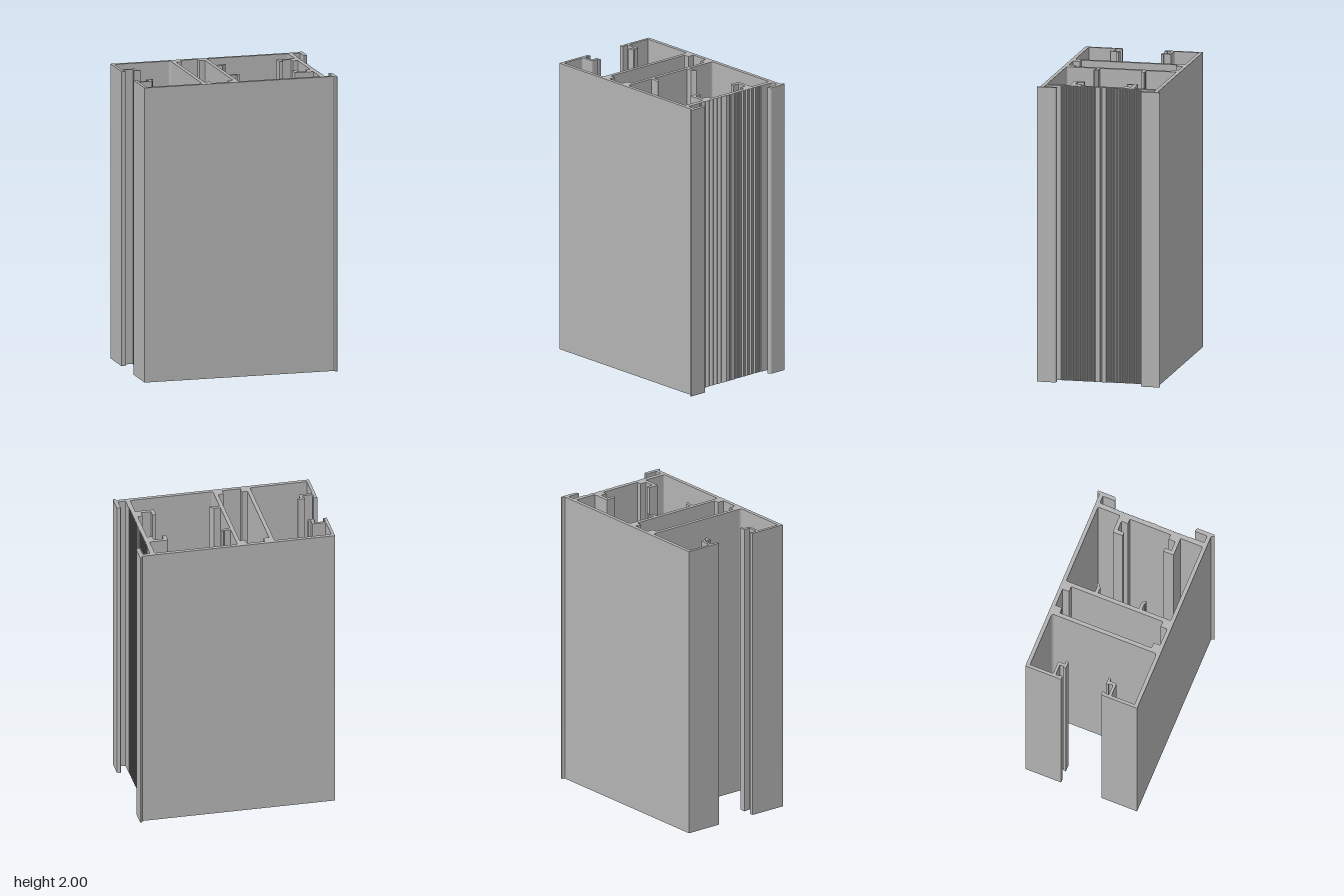
import * as THREE from 'three';

const HEIGHT = 2;

// Corner list [x, w, radius?] to points, with rounded corners where a radius is given
function roundCorners(corners) {
  const out = [];
  corners.forEach(([x, w, r], i) => {
    const p = new THREE.Vector2(x, w);
    if (!r) { out.push(p); return; }
    const toward = ([qx, qw]) => new THREE.Vector2(qx - x, qw - w).setLength(r).add(p);
    const curve = new THREE.QuadraticBezierCurve(toward(corners[i - 1]), p, toward(corners[i + 1]));
    out.push(...curve.getPoints(4));
  });
  return out;
}

// Closed symmetric loop from its half on the positive side
function mirrorLoop(corners) {
  const half = roundCorners(corners);
  const other = half.filter(p => p.y > 0).reverse().map(p => new THREE.Vector2(p.x, -p.y));
  return [...half, ...other];
}

// Fine ribs on the outer face of the right wall, with a V notch on the centre line
function ribbedFace() {
  const pts = [[0.582, 0], [0.588, 0.006], [0.588, 0.036]];
  for (let i = 0; i < 20; i++) {
    const w = 0.036 + i * 0.012;
    pts.push([0.583, w + 0.004], [0.583, w + 0.006], [0.588, w + 0.010]);
  }
  return pts;
}

export function createModel() {
  const aluminium = new THREE.MeshStandardMaterial({ color: 0xb3b3b3 });
  aluminium.name = 'aluminium grey';

  const outline = mirrorLoop([
    ...ribbedFace(),
    // right flange lip
    [0.588, 0.373, 0.008], [0.639, 0.373], [0.639, 0.284, 0.006], [0.665, 0.292, 0.01],
    [0.665, 0.419, 0.006], [0.652, 0.419, 0.006], [0.645, 0.4],
    // outer side and left end
    [-0.665, 0.4], [-0.665, 0.144], [-0.638, 0.144], [-0.638, 0.161], [-0.645, 0.161],
    // hooked track of the open chamber
    [-0.645, 0.19], [-0.573, 0.19], [-0.573, 0.161], [-0.58, 0.161], [-0.58, 0.144],
    [-0.532, 0.144, 0.005], [-0.535, 0.161, 0.005], [-0.553, 0.161], [-0.553, 0.209, 0.01],
    [-0.645, 0.209, 0.008],
    // inside of the open chamber
    [-0.645, 0.374], [-0.258, 0.374, 0.018], [-0.258, 0],
  ]);

  const middleChamber = mirrorLoop([
    [-0.232, 0], [-0.232, 0.328, 0.006], [-0.193, 0.328], [-0.193, 0.374], [-0.07, 0.374],
    [-0.07, 0.328], [-0.032, 0.328, 0.006], [-0.032, 0],
  ]);

  const rightChamber = mirrorLoop([
    [-0.006, 0],
    // barbed fin
    [-0.006, 0.146], [0.036, 0.146], [0.062, 0.169], [0.061, 0.174], [0.044, 0.174],
    [0.036, 0.168], [-0.006, 0.168],
    // corners and wall
    [-0.006, 0.374, 0.01], [0.556, 0.374, 0.01], [0.556, 0.218],
    // clip channel
    [0.43, 0.218, 0.005], [0.43, 0.146], [0.455, 0.146], [0.455, 0.192], [0.522, 0.192],
    [0.522, 0.146], [0.556, 0.146], [0.556, 0],
  ]);

  const section = new THREE.Shape(outline);
  section.holes.push(new THREE.Path(middleChamber), new THREE.Path(rightChamber));

  // Extrude the section upward
  const geometry = new THREE.ExtrudeGeometry(section, { depth: HEIGHT, bevelEnabled: false });
  geometry.rotateX(-Math.PI / 2);

  const profile = new THREE.Mesh(geometry, aluminium);
  profile.name = 'extrudedProfile';

  const group = new THREE.Group();
  group.name = 'frameProfile';
  group.add(profile);
  return group;
}
